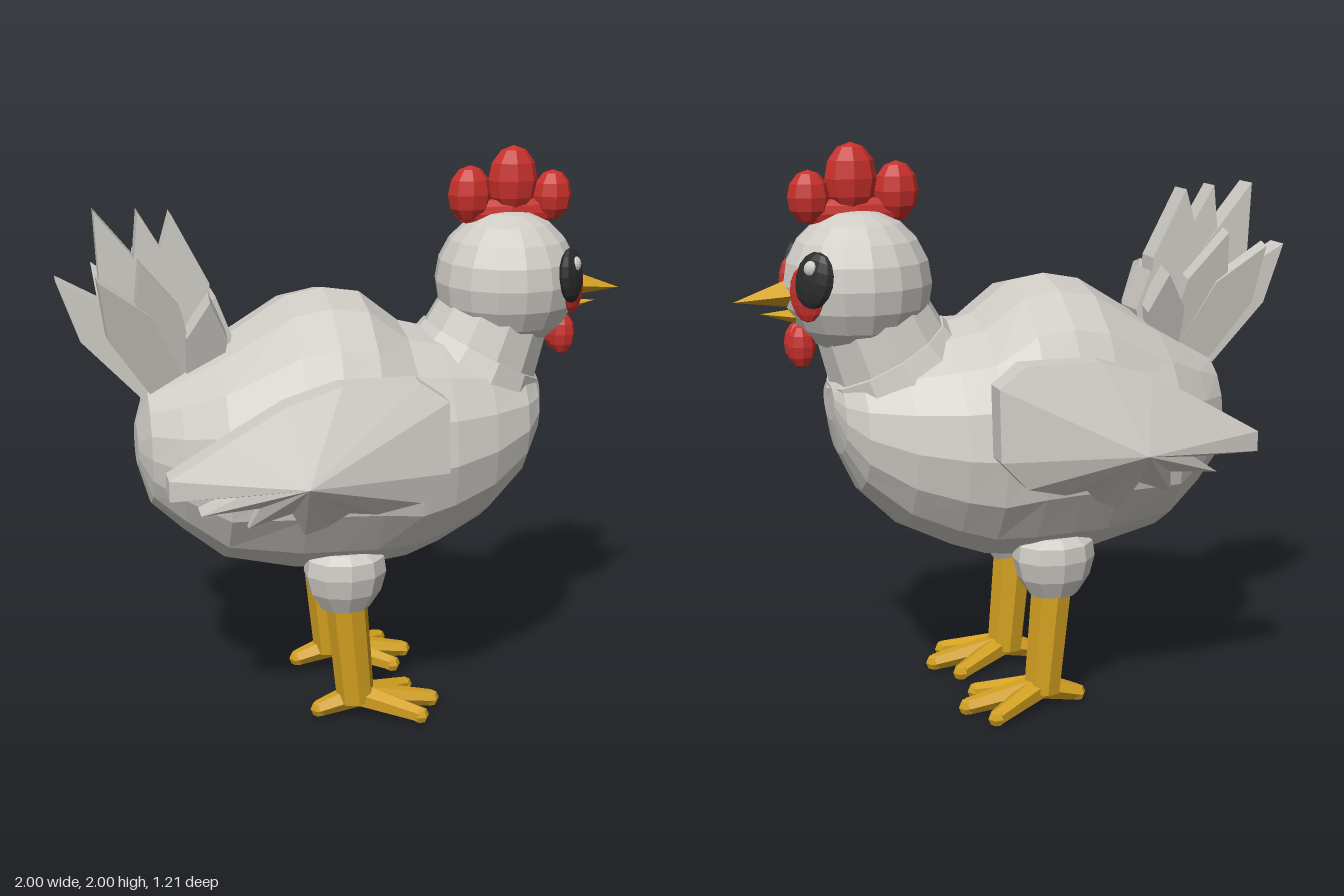
import * as THREE from 'three';

const mat = (name, color) => {
  const m = new THREE.MeshStandardMaterial({ color, flatShading: true });
  m.name = name;
  return m;
};

export function createModel() {
  const white = mat('featherWhite', 0xcfccc6);
  const yellow = mat('legYellow', 0xd2a020);
  const red = mat('combRed', 0xc8302b);
  const black = mat('eyeBlack', 0x2a2b2c);
  const root = new THREE.Group();
  root.name = 'hen';
  const V = (x, y, z) => new THREE.Vector3(x, y, z);

  const add = (name, geo, material) => {
    const m = new THREE.Mesh(geo, material);
    m.name = name;
    root.add(m);
    return m;
  };
  const ball = (name, p, r, material, ws = 8, hs = 6) => {
    const m = add(name, new THREE.SphereGeometry(1, ws, hs), material);
    m.position.set(...p);
    m.scale.set(...r);
    return m;
  };
  // tapered rod between two points
  const rod = (name, a, b, ra, rb, sides, material) => {
    const d = b.clone().sub(a);
    const m = add(name, new THREE.CylinderGeometry(rb, ra, d.length(), sides), material);
    m.position.copy(a).add(b).multiplyScalar(0.5);
    m.quaternion.setFromUnitVectors(V(0, 1, 0), d.normalize());
    return m;
  };
  const meshFrom = (positions, index) => {
    const g = new THREE.BufferGeometry();
    g.setAttribute('position', new THREE.Float32BufferAttribute(positions, 3));
    g.setIndex(index);
    g.computeVertexNormals();
    return g;
  };

  // Body: elliptical sections along x as [x, bottom, top, half width]
  const sections = [
    [-0.75, 0.93, 1.08, 0.09], [-0.71, 0.79, 1.21, 0.19], [-0.61, 0.7, 1.265, 0.29],
    [-0.47, 0.59, 1.35, 0.4], [-0.22, 0.53, 1.505, 0.45], [-0.09, 0.525, 1.53, 0.46],
    [0.04, 0.525, 1.51, 0.46], [0.18, 0.545, 1.4, 0.44], [0.3, 0.59, 1.37, 0.41],
    [0.46, 0.67, 1.33, 0.34], [0.6, 0.81, 1.27, 0.25], [0.66, 0.94, 1.22, 0.17], [0.685, 1.06, 1.19, 0.09]];
  const n = 16, pos = [], idx = [];
  for (const [x, b, t, w] of sections)
    for (let j = 0; j < n; j++) {
      const a = j / n * Math.PI * 2;
      pos.push(x, (b + t) / 2 + Math.cos(a) * (t - b) / 2, Math.sin(a) * w);
    }
  const last = sections.length - 1, cap = sections.length * n;
  for (const s of [sections[0], sections[last]]) pos.push(s[0], (s[1] + s[2]) / 2, 0);
  for (let j = 0; j < n; j++) {
    const k = (j + 1) % n;
    for (let i = 0; i < last; i++) {
      const a = i * n + j, b = i * n + k;
      idx.push(a, b, a + n, b, b + n, a + n);
    }
    idx.push(cap, k, j, cap + 1, last * n + j, last * n + k);
  }
  add('body', meshFrom(pos, idx), white);

  // Neck and head
  rod('neckBase', V(0.435, 1.19, 0), V(0.487, 1.285, 0), 0.265, 0.235, 12, white);
  rod('neck', V(0.46, 1.24, 0), V(0.54, 1.43, 0), 0.23, 0.2, 12, white);
  ball('head', [0.575, 1.53, 0], [0.255, 0.25, 0.248], white, 16, 10);

  // Comb and wattles
  ball('combBack', [0.435, 1.835, 0], [0.078, 0.1, 0.055], red);
  ball('combMiddle', [0.59, 1.88, 0], [0.09, 0.12, 0.058], red);
  ball('combFront', [0.735, 1.822, 0], [0.072, 0.09, 0.055], red);
  ball('combBase', [0.58, 1.765, 0], [0.2, 0.055, 0.04], red);
  for (const s of [1, -1])
    ball('wattle', [0.78, 1.328, s * 0.032], [0.048, 0.075, 0.036], red);

  // Beak: four-sided cones
  const beak = (name, x, y, len, h, w, tilt) => {
    const g = new THREE.ConeGeometry(1, len, 4);
    g.rotateZ(-Math.PI / 2);
    g.scale(1, h, w);
    g.rotateZ(tilt);
    add(name, g, yellow).position.set(x, y, 0);
  };
  beak('upperBeak', 0.9, 1.493, 0.2, 0.05, 0.068, -0.12);
  beak('lowerBeak', 0.85, 1.432, 0.12, 0.025, 0.042, 0.1);

  // Eyes: flattened balls lying on the head, over a cheek patch, with a highlight
  for (const s of [1, -1]) {
    const face = (name, p, r, dir, material) => {
      const m = ball(name, [p[0], p[1], s * p[2]], r, material, 10, 8);
      m.quaternion.setFromUnitVectors(V(0, 0, 1), V(dir[0], dir[1], s * dir[2]).normalize());
    };
    face('eye', [0.757, 1.568, 0.168], [0.075, 0.096, 0.03], [0.72, 0.1, 0.68], black);
    face('cheek', [0.778, 1.522, 0.14], [0.07, 0.095, 0.024], [0.76, 0, 0.65], red);
    face('eyeHighlight', [0.77, 1.61, 0.177], [0.024, 0.026, 0.018], [0.72, 0.12, 0.68], white);
  }

  // Wings: outline as [x, y, outer z] fanned to a raised ridge point, ragged lower edge
  const outline = [[-0.69, 1.03, 0.51], [-0.69, 0.96, 0.51], [-0.46, 0.955, 0.49],
    [-0.58, 0.875, 0.43], [-0.39, 0.9, 0.46], [-0.42, 0.81, 0.4], [-0.28, 0.87, 0.45],
    [-0.23, 0.77, 0.4], [-0.15, 0.8, 0.41], [-0.09, 0.86, 0.46], [0, 0.86, 0.49],
    [0.14, 0.9, 0.52], [0.235, 1.0, 0.53], [0.235, 1.24, 0.51], [0.14, 1.305, 0.49],
    [-0.12, 1.305, 0.49], [-0.3, 1.25, 0.49], [-0.5, 1.14, 0.5]];
  const wingGeometry = s => {
    const p = [-0.25, 1, s * 0.605, -0.25, 1, s * 0.4], f = [];
    const tri = (a, b, c) => (s > 0 ? f.push(a, b, c) : f.push(a, c, b));
    outline.forEach(([x, y, z], i) => {
      const a = 2 + i * 2, b = 2 + (i + 1) % outline.length * 2;
      p.push(x, y, s * z, x, y, s * (z - 0.09));
      tri(0, a, b);
      tri(1, b + 1, a + 1);
      tri(a, a + 1, b + 1);
      tri(a, b + 1, b);
    });
    return meshFrom(p, f);
  };
  add('leftWing', wingGeometry(1), white);
  add('rightWing', wingGeometry(-1), white);

  // Tail: pointed feathers as [tip x, tip y, tip z, half width, thickness]
  const tail = [[-1.0, 1.6, 0, 0.08, 0.1], [-0.865, 1.825, 0, 0.09, 0.1], [-0.72, 1.82, 0, 0.085, 0.09],
    [-0.61, 1.81, 0, 0.1, 0.1], [-0.47, 1.53, 0, 0.07, 0.14]];
  for (const s of [1, -1])
    tail.push([-0.87, 1.62, s * 0.15, 0.08, 0.06], [-0.73, 1.67, s * 0.13, 0.08, 0.06],
      [-0.5, 1.54, s * 0.13, 0.07, 0.08]);
  for (const [x, y, z, w, d] of tail) {
    const base = V(-0.59 + (x + 0.72) * 0.32, 1.22, z * 0.25);
    const dir = V(x, y, z).sub(base), L = dir.length();
    const shape = new THREE.Shape([[-0.8 * w, 0], [0.8 * w, 0], [w, 0.58 * L], [0, L], [-w, 0.58 * L]]
      .map(q => new THREE.Vector2(...q)));
    const g = new THREE.ExtrudeGeometry(shape, { depth: d, bevelEnabled: false });
    g.translate(0, 0, -d / 2);
    g.rotateX(Math.asin(dir.z / L));
    g.rotateZ(Math.atan2(-dir.x, dir.y));
    add('tailFeather', g, white).position.copy(base);
  }

  // Legs: rounded thigh, shank and four toes
  const thigh = [[0, 0.425], [0.088, 0.425], [0.13, 0.49], [0.148, 0.56], [0.14, 0.615], [0.1, 0.642], [0, 0.645]]
    .map(p => new THREE.Vector2(...p));
  for (const s of [1, -1]) {
    const z = s * 0.218;
    const t = add('thigh', new THREE.LatheGeometry(thigh, 10), white);
    t.position.set(-0.055, 0, s * 0.222);
    t.scale.z = 0.8;
    rod('shank', V(-0.05, 0.45, z), V(-0.015, 0.06, z), 0.075, 0.068, 8, yellow);
    for (const [x, dz] of [[0.265, 0], [0.195, 0.125], [0.195, -0.125], [-0.15, 0]]) {
      rod('toe', V(-0.01, 0.075, z), V(x, 0.032, z + dz), 0.047, 0.03, 6, yellow);
      ball('toeTip', [x, 0.031, z + dz], [0.031, 0.031, 0.031], yellow, 6, 4);
    }
  }
  return root;
}
